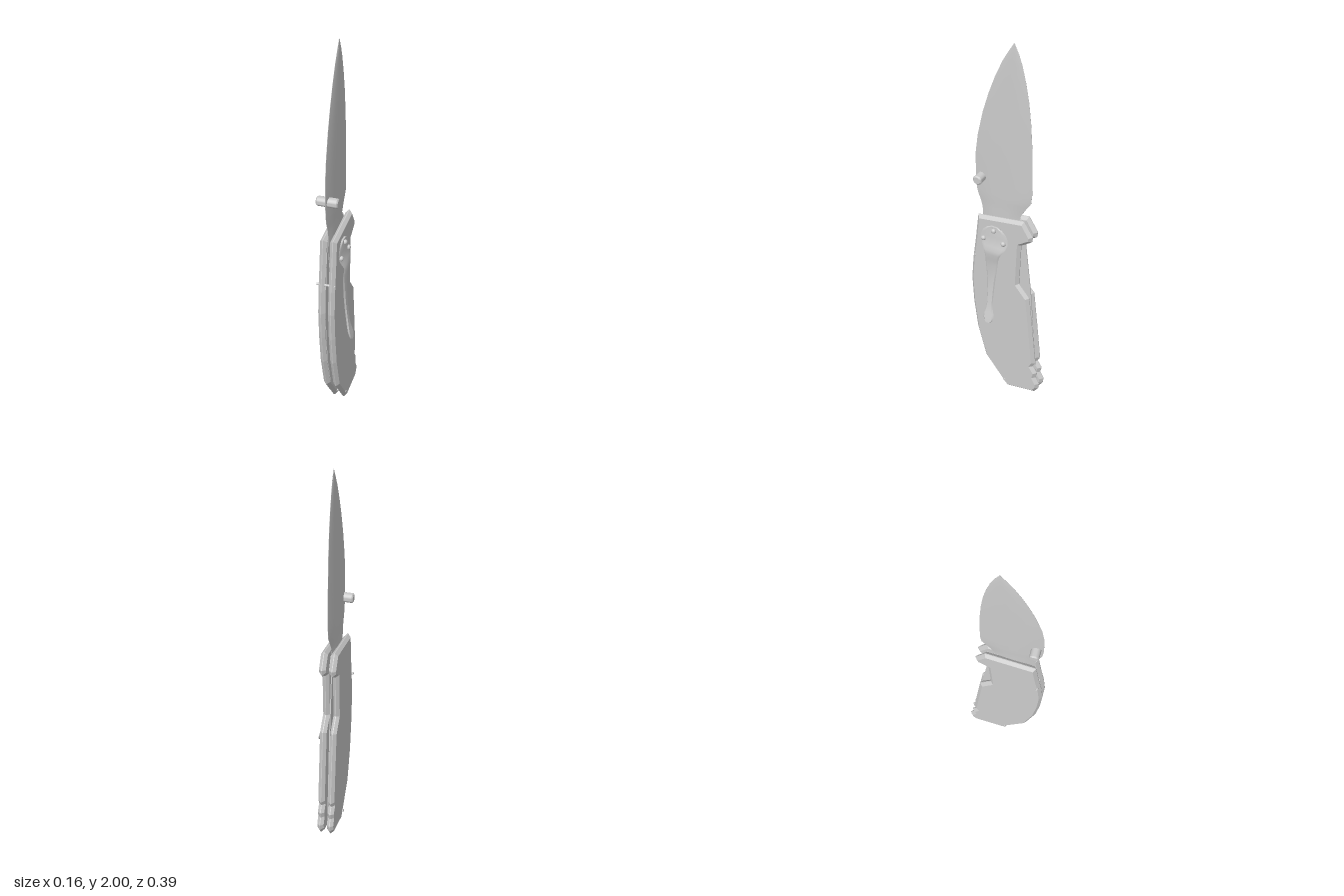
import * as THREE from 'three';
import { toCreasedNormals } from 'three/addons/utils/BufferGeometryUtils.js';

const grey = new THREE.MeshStandardMaterial({ color: 0xcccccc });

// Drafting units (side elevation) to model units
const S = 188.6;
const U = (p) => (p - 686) / S;
const Y = (p) => (413.3 - p) / S;

function add(parent, name, geometry, x = 0, y = 0, z = 0) {
  const mesh = new THREE.Mesh(geometry, grey);
  mesh.name = name;
  mesh.position.set(x, y, z);
  parent.add(mesh);
  return mesh;
}

// Skin a stack of closed rings (listed upward, anticlockwise from above) and cap both ends
function loft(rings, crease) {
  const n = rings[0].length, pos = rings.flat(2), idx = [];
  for (let i = 0; i < rings.length - 1; i++) {
    for (let j = 0; j < n; j++) {
      const a = i * n + j, b = i * n + (j + 1) % n;
      idx.push(a, b, b + n, a, b + n, a + n);
    }
  }
  const top = (rings.length - 1) * n;
  for (let j = 1; j < n - 1; j++) idx.push(0, j + 1, j, top, top + j, top + j + 1);
  const g = new THREE.BufferGeometry();
  g.setAttribute('position', new THREE.Float32BufferAttribute(pos, 3));
  g.setIndex(idx);
  return toCreasedNormals(g, crease);
}

// Plate cut to a side outline, centred on x = 0, with optional bevel
function plate(points, thickness, bevel) {
  const shape = new THREE.Shape(points.map(([p, q]) => new THREE.Vector2(U(p), Y(q))));
  const depth = thickness - 2 * bevel;
  const g = new THREE.ExtrudeGeometry(shape, {
    depth, bevelEnabled: bevel > 0, bevelThickness: bevel, bevelSize: bevel,
    bevelOffset: -bevel, bevelSegments: 1,
  });
  return g.translate(0, 0, -depth / 2).rotateY(Math.PI / 2);
}

// Cylinder lying along x with slightly chamfered ends
function pin(x0, x1, r, chamfer, sides = 20) {
  const h = x1 - x0;
  const profile = [[0, 0], [r - chamfer, 0], [r, chamfer], [r, h - chamfer], [r - chamfer, h], [0, h]]
    .map(([a, b]) => new THREE.Vector2(a, b));
  const g = new THREE.LatheGeometry(profile, sides).rotateZ(-Math.PI / 2).translate(x0, 0, 0);
  return toCreasedNormals(g, 0.6);
}

export function createModel() {
  const model = new THREE.Group();
  model.name = 'foldingKnife';

  // Blade: lens-shaped sections, [level, belly edge, spine edge, half thickness]
  const bladeRows = [
    [262, 664, 698, 0.009], [235, 660, 699, 0.010], [214, 659, 697, 0.010], [208, 658, 699, 0.010],
    [203, 656.5, 702, 0.010], [198, 654.5, 705, 0.011], [192, 653, 709, 0.011], [182, 652, 710, 0.011],
    [155, 652, 710, 0.011], [135, 654.5, 709.5, 0.0105], [110, 660, 708, 0.0095],
    [90, 666, 706, 0.0085], [72, 672.5, 703, 0.007], [55, 680, 699, 0.0055],
    [46, 685, 696, 0.004], [36.1, 691, 691.4, 0.0015],
  ];
  const lens = [[0, 0.08], [0.12, 0.6], [0.3, 0.95], [0.5, 1], [0.7, 0.95], [0.88, 0.6], [1, 0.08]];
  const bladeRings = bladeRows.map(([q, l, r, t]) => {
    const at = (s, k, side) => [-0.026 + side * t * k, Y(q), -U(l + (r - l) * s)];
    return [
      ...lens.map(([s, k]) => at(s, k, 1)),
      ...lens.map(([s, k]) => at(s, k, -1)).reverse(),
    ];
  });
  add(model, 'blade', loft(bladeRings, 0.7));

  // Thumb stud through the blade
  add(model, 'thumbStud', pin(-0.08, 0.028, 0.024, 0.006, 24), 0, 1.25, 0.145);

  // Handle scales
  const belly = [[688, 413.3], [664, 383], [655, 350], [651, 320], [649.3, 292], [651, 268], [654, 245], [657, 217]];
  const head = [[705, 209.5], [714, 224], [713, 229.5], [702, 237]];
  const butt = [[711, 295], [715, 335], [718.5, 372], [716, 377], [720.5, 384], [719, 390],
    [722.8, 397], [722, 403], [718, 408.5]];
  const scaleOutline = [...belly, ...head, [700, 282], ...butt];
  for (const [name, x] of [['rightHandleScale', -0.0505], ['leftHandleScale', 0]]) {
    add(model, name, plate(scaleOutline, 0.034, 0.015), x);
  }

  // Thin lock liner, bridging the finger notch
  const linerOutline = [[688, 409], [667, 381], [658, 349], [652.5, 292], [657, 247], [660, 220],
    [704, 213], [710, 225], [703, 236], [709, 291], [715, 374], [717, 404]];
  add(model, 'lockLiner', plate(linerOutline, 0.005, 0), -0.0335);

  // Handle pins
  add(model, 'frontPin', pin(-0.078, 0.018, 0.006, 0.001, 12), 0, 0.8, 0.167);
  add(model, 'buttPin', pin(-0.075, 0.02, 0.007, 0.001, 12), 0, 0.045, 0);

  // Pocket clip: [level, front edge, back edge, x]
  const clip = new THREE.Group();
  clip.name = 'pocketClip';
  model.add(clip);
  const clipRows = [
    [329.5, 671, 676, 0.070], [327.5, 669, 678, 0.068], [324, 668, 679, 0.064], [320, 668, 678.5, 0.059],
    [315, 669.5, 677, 0.053], [308, 670.5, 676.5, 0.047], [296, 670.5, 677, 0.040], [280, 669.5, 678.5, 0.035],
    [265, 668, 680.5, 0.034], [258, 668, 681.5, 0.037], [252, 667.5, 683.5, 0.041], [248, 666, 686, 0.039],
    [244, 664, 688.5, 0.031], [239, 662, 690, 0.024], [234, 662, 690, 0.021],
    [229, 664, 688, 0.021], [225, 668, 684, 0.021], [223, 672, 680, 0.021],
  ];
  const clipRings = clipRows.map(([q, l, r, x]) => {
    const t = 0.005, zf = -U(l), zb = -U(r), e = (zf - zb) * 0.12;
    return [[x + t, zf - e], [x + t, zb + e], [x, zb], [x - t, zb + e], [x - t, zf - e], [x, zf]]
      .map(([a, z]) => [a, Y(q), z]);
  });
  add(clip, 'clipSpring', loft(clipRings, 0.6));

  // Domed clip screws
  for (const [y, z] of [[0.93, 0.111], [0.99, 0.053], [0.93, 0]]) {
    const screw = add(clip, 'clipScrew', new THREE.SphereGeometry(0.013, 16, 12), 0.029, y, z);
    screw.scale.x = 0.9;
  }
  return model;
}
